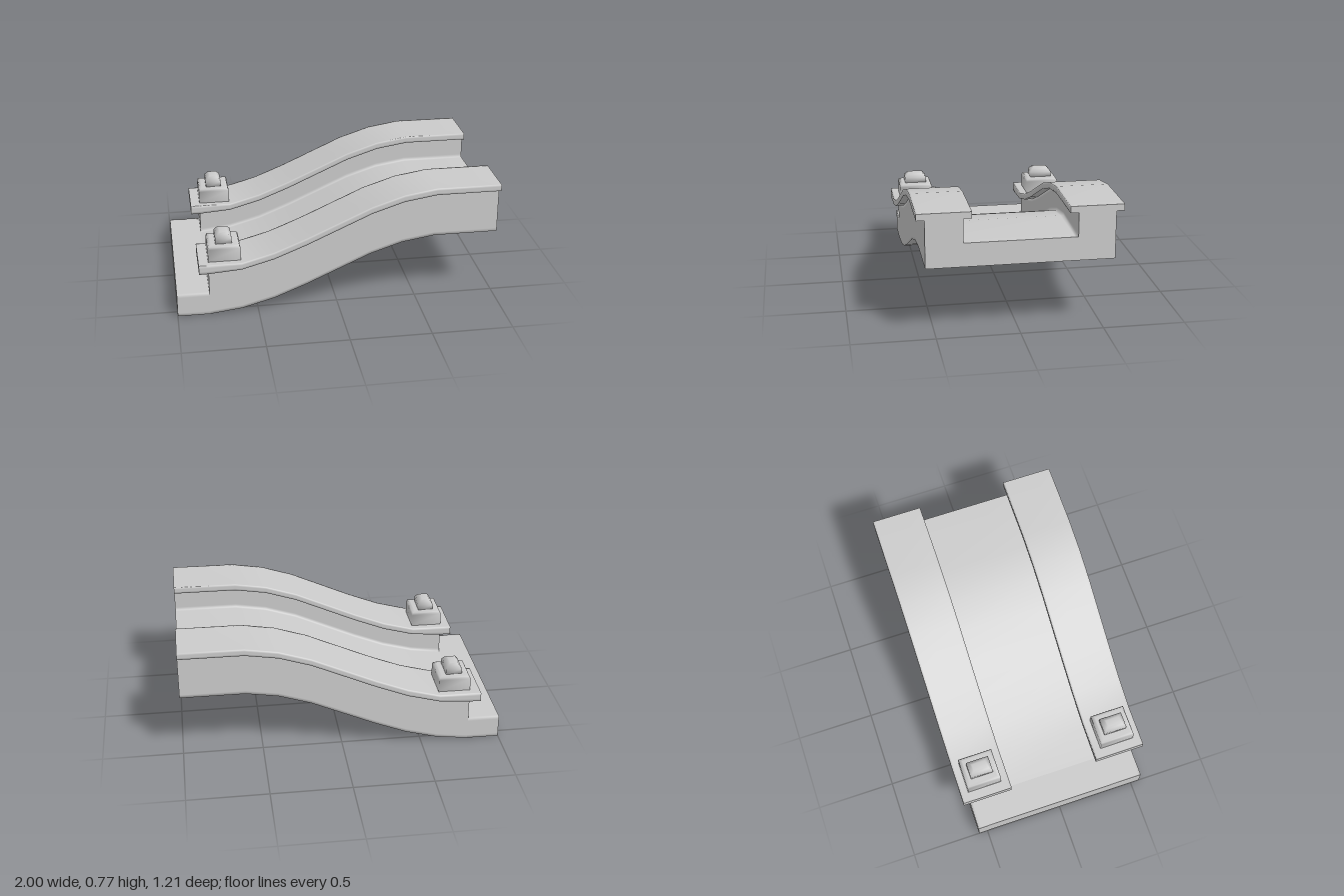
import * as THREE from 'three';
import { mergeVertices } from 'three/addons/utils/BufferGeometryUtils.js';

const material = new THREE.MeshStandardMaterial({ color: 0xcccccc });

function addMesh(group, name, geometry) {
  const mesh = new THREE.Mesh(geometry, material);
  mesh.name = name;
  group.add(mesh);
  return mesh;
}

// Adds support points beside every corner so smooth shading stays near the edges
function withSupport(corners, d) {
  const out = [];
  corners.forEach((p, i) => {
    const q = corners[(i + 1) % corners.length];
    const t = d / Math.hypot(q[0] - p[0], q[1] - p[1]);
    const at = (s) => [p[0] + (q[0] - p[0]) * s, p[1] + (q[1] - p[1]) * s];
    out.push(p, at(t), at(1 - t));
  });
  return out;
}

// Carries a (z, y) section along a path of [x, y, vertical scale], with flat ends
function sweep(corners, path, support) {
  const section = withSupport(corners, support);
  const n = section.length;
  const pos = [], index = [];
  const put = ([z, v], [x, y, s = 1]) => pos.push(x, y + v * s, z);
  path.forEach((p) => section.forEach((c) => put(c, p)));
  for (let i = 0; i < path.length - 1; i++) {
    for (let j = 0; j < n; j++) {
      const a = i * n + j, b = i * n + (j + 1) % n;
      index.push(a, a + n, b, b, a + n, b + n);
    }
  }
  const faces = THREE.ShapeUtils.triangulateShape(corners.map((c) => new THREE.Vector2(...c)), []);
  [path[0], path[path.length - 1]].forEach((p, end) => {
    const start = pos.length / 3;
    corners.forEach((c) => put(c, p));
    faces.forEach(([a, b, c]) => index.push(start + a, start + (end ? c : b), start + (end ? b : c)));
  });
  const g = new THREE.BufferGeometry();
  g.setAttribute('position', new THREE.Float32BufferAttribute(pos, 3));
  g.setIndex(index);
  g.computeVertexNormals();
  return g;
}

// Block whose horizontal layers are [height, inset], smoothly shaded
function layeredBlock(width, depth, layers) {
  const n = layers.length - 1;
  const box = new THREE.BoxGeometry(width, 1, depth, 1, n, 1);
  const p = box.attributes.position;
  for (let i = 0; i < p.count; i++) {
    const [y, inset] = layers[Math.round((p.getY(i) + 0.5) * n)];
    p.setXYZ(i, p.getX(i) - Math.sign(p.getX(i)) * inset, y, p.getZ(i) - Math.sign(p.getZ(i)) * inset);
  }
  box.deleteAttribute('normal');
  box.deleteAttribute('uv');
  const g = mergeVertices(box);
  g.computeVertexNormals();
  return g;
}

export function createModel() {
  const model = new THREE.Group();
  model.name = 'slopedRamp';

  // Underside curve shared by the deck and side walls
  const slope = [[-0.8, 0], [-0.6, 0.025], [-0.4, 0.08], [-0.2, 0.16], [0, 0.25],
    [0.2, 0.34], [0.4, 0.405], [0.6, 0.437], [1, 0.438]];
  const W = 0.557, inner = 0.335, deck = 0.145, wall = 0.292;

  // Channel with deck and side walls, and the low lip in front of the walls
  addMesh(model, 'deckAndWalls', sweep([[-W, 0], [W, 0], [W, wall], [inner, wall],
    [inner, deck], [-inner, deck], [-inner, wall], [-W, wall]], slope, 0.02));
  addMesh(model, 'lowerLip', sweep([[-W, 0], [W, 0], [W, deck], [-W, deck]],
    [[-1, 0], [-0.8, 0]], 0.02));

  // Railing caps, a little thicker at the low end
  const capPath = [[-0.86, 0.3, 1.38], [-0.8, 0.301, 1.36],
    ...slope.slice(1).map(([x, y]) => [x, y + 0.291])];
  const capSection = [[-0.16, 0], [0.16, 0], [0.16, 0.04], [-0.16, 0.04]];

  for (const side of [1, -1]) {
    const rail = new THREE.Group();
    rail.name = side > 0 ? 'frontRailing' : 'backRailing';
    rail.position.z = side * 0.445;
    addMesh(rail, 'railCap', sweep(capSection, capPath, 0.012));
    // Post block and its finial
    const post = addMesh(rail, 'postBlock', layeredBlock(0.2, 0.22,
      [[0.34, 0], [0.36, 0], [0.435, 0], [0.45, 0.007], [0.455, 0.022]]));
    const knob = addMesh(rail, 'postFinial', layeredBlock(0.1, 0.145,
      [[0.45, 0], [0.49, 0], [0.513, 0.018], [0.52, 0.03]]));
    post.position.x = knob.position.x = -0.7;
    model.add(rail);
  }
  return model;
}
